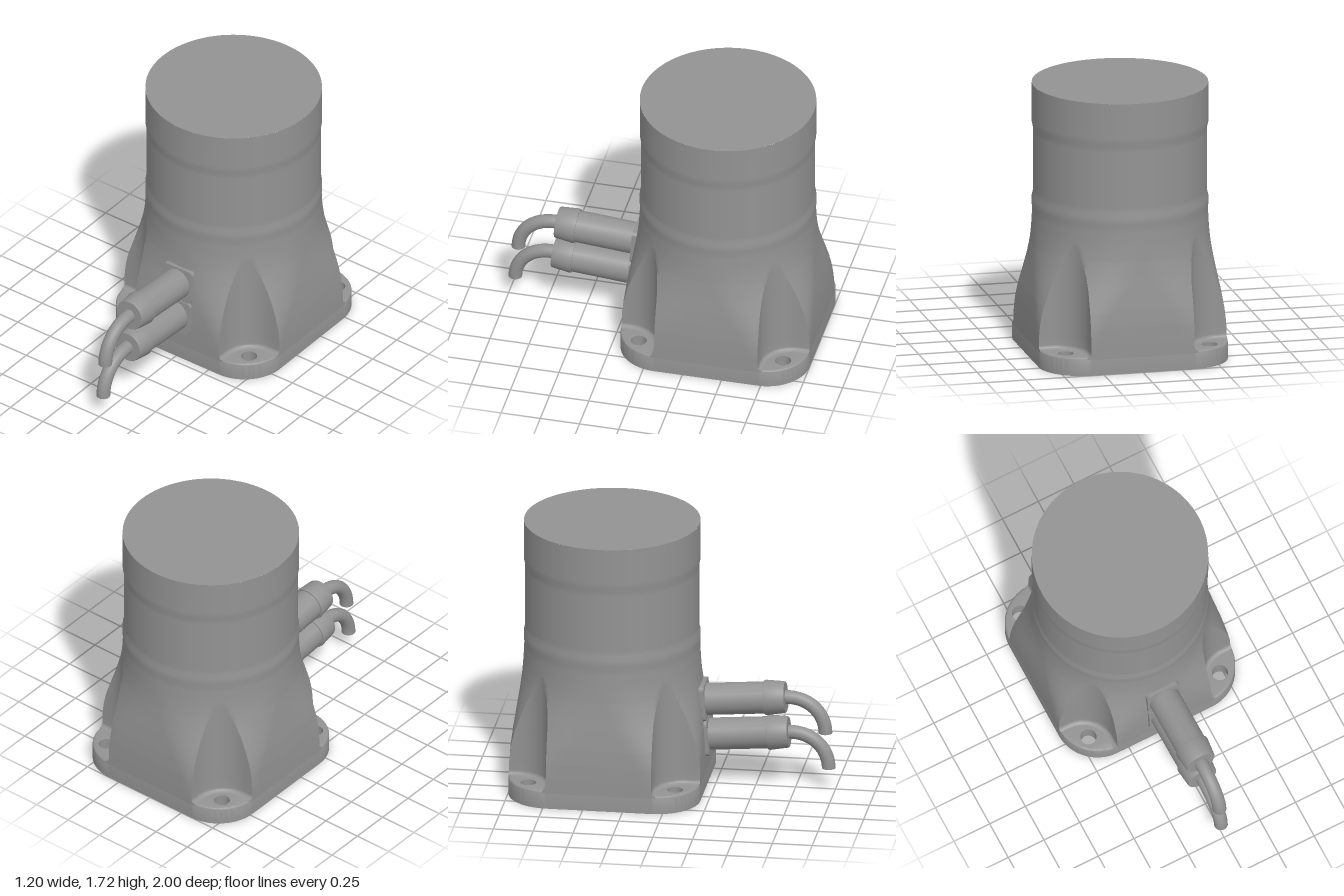
import * as THREE from 'three';
import { toCreasedNormals } from 'three/addons/utils/BufferGeometryUtils.js';

const paint = new THREE.MeshStandardMaterial({ color: 0x939393 });
const HALF = 0.6, CORNER = 0.27, HOLE = 0.46, HOLE_R = 0.05, TOP = 1.715;
const FLANGE = 0.115, BEVEL = 0.015, FILLET = 0.025;

function add(parent, name, geometry) {
  const mesh = new THREE.Mesh(geometry, paint);
  mesh.name = name;
  parent.add(mesh);
  return mesh;
}

function roundedSquare(h, r) {
  const s = new THREE.Shape();
  const k = h - r;
  s.absarc(k, k, r, 0, Math.PI / 2);
  s.absarc(-k, k, r, Math.PI / 2, Math.PI);
  s.absarc(-k, -k, r, Math.PI, Math.PI * 1.5);
  s.absarc(k, -k, r, Math.PI * 1.5, Math.PI * 2);
  s.closePath();
  return s;
}

// Half width of the housing by height, with raised bands below 1.0 and above 1.45
const profile = [
  [FLANGE - BEVEL, HALF], [0.2, 0.6], [0.3, 0.597], [0.4, 0.59], [0.5, 0.579], [0.6, 0.567],
  [0.7, 0.557], [0.8, 0.551], [0.88, 0.547], [0.91, 0.546], [0.94, 0.549], [0.98, 0.549],
  [1.01, 0.541], [1.04, 0.541], [1.4, 0.541], [1.43, 0.541], [1.46, 0.548], [1.49, 0.548],
  [TOP, 0.548],
];
function halfWidth(y) {
  const i = Math.max(1, profile.findIndex((p) => y <= p[0]));
  const [y0, h0] = profile[i - 1], [y1, h1] = profile[i];
  return THREE.MathUtils.lerp(h0, h1, (y - y0) / (y1 - y0));
}

// Distance along a ray (0..45 degrees) to the rounded-square section, which becomes a circle higher up
function wall(a, y) {
  const h = halfWidth(y);
  const c = THREE.MathUtils.lerp(CORNER, h, THREE.MathUtils.smoothstep(y, 0.05, 0.83));
  const k = h - c, s = h / Math.cos(a);
  if (s * Math.sin(a) <= k) return s;
  const b = k * (Math.cos(a) + Math.sin(a));
  return b + Math.sqrt(Math.max(0, b * b - 2 * k * k + c * c));
}

// Distance along a ray to the rounded pocket over each mounting hole, with a small fillet at its floor
function pocket(a, y) {
  const d = THREE.MathUtils.clamp((FLANGE + FILLET - y) / FILLET, 0, 1);
  const inset = FILLET * (1 - Math.sqrt(1 - d * d));
  const k = 0.535, r = 0.205 - inset;
  const s = (k - r) / Math.max(Math.sin(a), 1e-6);
  if (s * Math.cos(a) >= k) return s;
  const b = k * (Math.cos(a) + Math.sin(a));
  return b - Math.sqrt(Math.max(0, b * b - 2 * k * k + r * r));
}

// Angle of the pocket's rim at a given height
function rimAngle(y) {
  let lo = 0.1, hi = Math.PI / 4;
  for (let i = 0; i < 30; i++) {
    const m = (lo + hi) / 2;
    if (pocket(m, y) > wall(m, y)) lo = m; else hi = m;
  }
  return Math.min(hi, 0.765);
}

function housingGeometry() {
  const ys = profile.map((p) => p[0]);
  for (let y = 0.223; y < 0.88; y += 0.02) ys.push(y);
  for (let i = 0; i <= 6; i++) ys.push(FLANGE + FILLET * i / 6);
  ys.sort((p, q) => p - q);
  const n1 = 14, n2 = 10, pos = [], idx = [];
  for (const y of ys) {
    const rim = rimAngle(y), half = [];
    for (let i = 0; i < n1; i++) half.push(rim * i / n1);
    for (let i = 0; i <= n2; i++) half.push(rim + (Math.PI / 4 - rim) * i / n2);
    const ring = half.map((a) => [a, a]);
    for (let i = half.length - 2; i > 0; i--) ring.push([Math.PI / 2 - half[i], half[i]]);
    for (let q = 0; q < 4; q++) {
      for (const [angle, a] of ring) {
        const r = y < 0.85 ? Math.min(wall(a, y), pocket(a, y)) : wall(a, y);
        const t = angle + q * Math.PI / 2;
        pos.push(r * Math.cos(t), y, r * Math.sin(t));
      }
    }
  }
  const n = 8 * (n1 + n2);
  for (let j = 0; j < ys.length - 1; j++) {
    for (let i = 0; i < n; i++) {
      const a = j * n + i, b = j * n + (i + 1) % n;
      idx.push(a, a + n, b, b, a + n, b + n);
    }
  }
  const g = new THREE.BufferGeometry();
  g.setAttribute('position', new THREE.Float32BufferAttribute(pos, 3));
  g.setIndex(idx);
  return toCreasedNormals(g, 0.6);
}

// Base plate: rounded upper edge, flat underside, straight mounting holes
function flangeGeometry() {
  const shape = roundedSquare(HALF, CORNER);
  for (const x of [-HOLE, HOLE]) for (const z of [-HOLE, HOLE]) {
    shape.holes.push(new THREE.Path().absarc(x, z, HOLE_R, 0, Math.PI * 2, true));
  }
  const g = new THREE.ExtrudeGeometry(shape, {
    depth: FLANGE - BEVEL, curveSegments: 16, bevelEnabled: true,
    bevelThickness: BEVEL, bevelSize: BEVEL, bevelOffset: -BEVEL, bevelSegments: 4,
  });
  g.rotateX(-Math.PI / 2);
  const p = g.attributes.position;
  for (let i = 0; i < p.count; i++) {
    let x = p.getX(i), z = p.getZ(i);
    const cx = Math.sign(x) * HOLE, cz = Math.sign(z) * HOLE;
    const d = Math.hypot(x - cx, z - cz);
    if (d < HOLE_R + BEVEL + 0.002) {
      x = cx + (x - cx) * HOLE_R / d;
      z = cz + (z - cz) * HOLE_R / d;
    }
    p.setXYZ(i, x, Math.max(0, p.getY(i)), z);
  }
  return toCreasedNormals(g, 0.6);
}

// Plug with mounting plate, tapered collar and drooping cable
function connector(name, y, z) {
  const g = new THREE.Group();
  g.name = name;
  g.position.set(0, y, z);
  g.rotation.x = -0.08;

  const plate = new THREE.ExtrudeGeometry(roundedSquare(0.113, 0.025), {
    depth: 0.05, bevelEnabled: false, curveSegments: 6,
  });
  plate.translate(0, 0, -0.055);
  add(g, 'connectorPlate', toCreasedNormals(plate, 0.6));

  const outline = [
    [0.1, -0.03], [0.1, 0.36], [0.108, 0.36], [0.11, 0.37], [0.099, 0.48], [0.095, 0.49], [0, 0.49],
  ].map(([r, h]) => new THREE.Vector2(r, h));
  const plug = new THREE.LatheGeometry(outline, 40);
  plug.rotateX(Math.PI / 2);
  add(g, 'connectorPlug', toCreasedNormals(plug, 0.4));

  const end = new THREE.Vector3(0, -0.244, 0.72);
  const path = new THREE.CubicBezierCurve3(
    new THREE.Vector3(0, 0, 0.47), new THREE.Vector3(0, 0.005, 0.63),
    new THREE.Vector3(0, -0.11, 0.73), end);
  add(g, 'cable', new THREE.TubeGeometry(path, 28, 0.043, 20));
  const cap = add(g, 'cableEnd', new THREE.CircleGeometry(0.043, 20));
  cap.position.copy(end);
  cap.rotation.x = Math.PI / 2 + 0.08;
  return g;
}

export function createModel() {
  const model = new THREE.Group();
  model.name = 'roundMachineBase';

  const body = new THREE.Group();
  body.name = 'body';
  body.position.z = -0.4;
  add(body, 'housing', housingGeometry());
  add(body, 'mountingFlange', flangeGeometry());
  const top = add(body, 'topFace', new THREE.CircleGeometry(0.548, 96));
  top.rotation.x = -Math.PI / 2;
  top.position.y = TOP;
  model.add(body);

  model.add(connector('upperConnector', 0.555, 0.2));
  model.add(connector('lowerConnector', 0.325, 0.22));
  return model;
}
